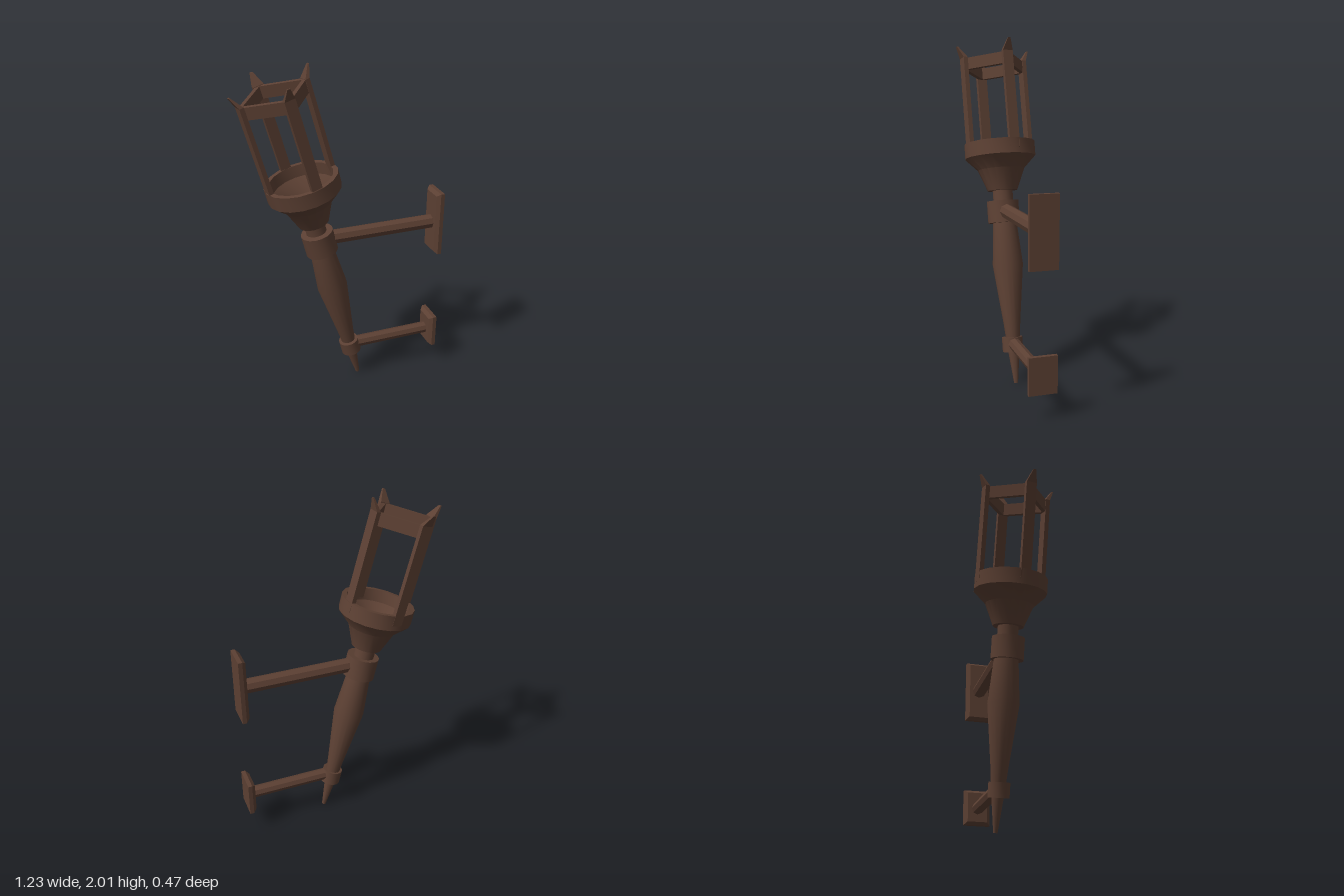
import * as THREE from 'three';
import { toCreasedNormals } from 'three/addons/utils/BufferGeometryUtils.js';

const iron = new THREE.MeshStandardMaterial({ color: 0x5c4033 });
iron.name = 'brown iron';

function add(parent, name, geometry, x = 0, y = 0, z = 0) {
  const mesh = new THREE.Mesh(geometry, iron);
  mesh.name = name;
  mesh.position.set(x, y, z);
  parent.add(mesh);
  return mesh;
}

// Turned part from [radius, height] pairs
function turned(points, sides = 16) {
  const profile = points.map(([r, h]) => new THREE.Vector2(r, h));
  return toCreasedNormals(new THREE.LatheGeometry(profile, sides), 0.45);
}

// Box whose top face is scaled and shifted
function taperedBox(w, h, d, scaleX, scaleZ, shiftX = 0) {
  const g = new THREE.BoxGeometry(w, h, d).toNonIndexed();
  const p = g.attributes.position;
  for (let i = 0; i < p.count; i++) {
    if (p.getY(i) > 0) {
      p.setX(i, p.getX(i) * scaleX + shiftX);
      p.setZ(i, p.getZ(i) * scaleZ);
    }
  }
  g.computeVertexNormals();
  return g;
}

function createTorch() {
  const torch = new THREE.Group();
  torch.name = 'torch';
  torch.position.set(0.117, 0.003, 0.003);
  torch.rotation.z = 0.246;

  add(torch, 'handle', turned([
    [0, 0], [0.012, 0], [0.038, 0.22], [0.05, 0.35], [0.091, 0.7],
    [0.07, 0.96], [0.06, 1.06], [0.06, 1.16],
  ]));
  const collar = (r, half) => turned([[0, -half], [r, -half], [r, half], [0, half]]);
  add(torch, 'lowerCollar', collar(0.061, 0.042), 0, 0.228, 0.005);
  add(torch, 'upperCollar', collar(0.095, 0.065), 0, 1.015, 0.005);

  // Hollow bowl: up the outside, over the rim, down the inside
  add(torch, 'bowl', turned([
    [0, 1.143], [0.089, 1.143], [0.14, 1.27], [0.212, 1.342], [0.212, 1.43],
    [0.185, 1.43], [0.18, 1.36], [0.125, 1.29], [0.078, 1.18], [0, 1.18],
  ], 18));
  return torch;
}

function createCage() {
  const cage = new THREE.Group();
  cage.name = 'cage';
  cage.position.set(-0.2325, 1.39, 0);
  cage.rotation.set(0, 0, 0.268);

  const twist = 0.166;
  for (let i = 0; i < 4; i++) {
    const side = new THREE.Group();
    side.name = 'cageSide';
    side.rotation.y = twist + i * Math.PI / 2;
    cage.add(side);

    // Upright bar ending in an outward prong
    add(side, 'bar', new THREE.BoxGeometry(0.026, 0.57, 0.062), 0.194, 0.227);
    add(side, 'prong', taperedBox(0.026, 0.066, 0.062, 0.35, 0.25, 0.038), 0.194, 0.545);

    // Plank joining this bar to the next
    const corner = new THREE.Group();
    corner.name = 'bandCorner';
    corner.rotation.y = Math.PI / 4;
    side.add(corner);
    add(corner, 'band', new THREE.BoxGeometry(0.024, 0.07, 0.262), 0.135, 0.474);
  }
  return cage;
}

// Horizontal arm with a chamfered wall plate
function createBracket(name, startX, y, radius, plateY, plateHeight) {
  const bracket = new THREE.Group();
  bracket.name = name;
  bracket.position.z = 0.01;

  const length = 0.585 - startX;
  const armGeometry = toCreasedNormals(new THREE.CylinderGeometry(radius, radius, length, 8), 0.4);
  add(bracket, 'arm', armGeometry, startX + length / 2, y).rotation.z = Math.PI / 2;

  const depth = 0.16;
  add(bracket, 'wallPlate', new THREE.BoxGeometry(0.024, plateHeight, depth), 0.608, plateY);
  const chamfer = taperedBox(plateHeight, 0.021, depth, 1 - 0.034 / plateHeight, 1 - 0.04 / depth);
  add(bracket, 'plateChamfer', chamfer, 0.5855, plateY).rotation.z = Math.PI / 2;
  return bracket;
}

export function createModel() {
  const model = new THREE.Group();
  model.name = 'wallTorch';
  model.add(
    createTorch(),
    createCage(),
    createBracket('upperBracket', -0.12, 1.005, 0.043, 1.008, 0.395),
    createBracket('lowerBracket', 0.06, 0.24, 0.036, 0.247, 0.21),
  );
  return model;
}
